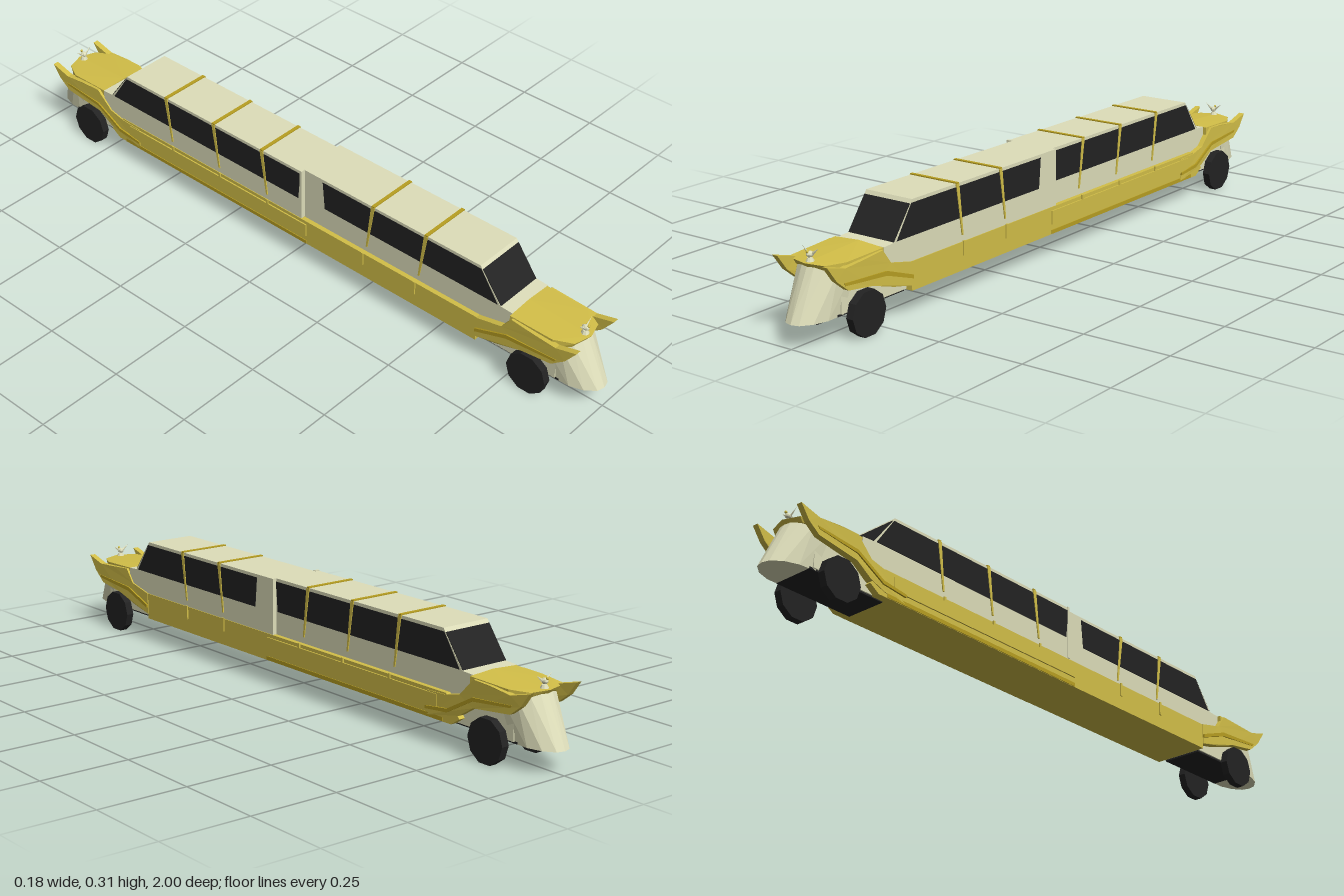
import * as THREE from 'three';
import { ConvexGeometry } from 'three/addons/geometries/ConvexGeometry.js';

const mat = (name, color) => {
  const m = new THREE.MeshStandardMaterial({ color, flatShading: true });
  m.name = name;
  return m;
};
const cream = mat('cream', 0xdedeba);
const gold = mat('gold', 0xd3bf48);
const deepGold = mat('deepGold', 0xb89f22);
const black = mat('black', 0x232323);

function add(parent, name, geometry, material) {
  const mesh = new THREE.Mesh(geometry, material);
  mesh.name = name;
  parent.add(mesh);
  return mesh;
}

// Side profile given as [z, y] points, extruded across from x0 to x1
function slab(points, x0, x1) {
  const shape = new THREE.Shape(points.map(([z, y]) => new THREE.Vector2(z, y)));
  const g = new THREE.ExtrudeGeometry(shape, { depth: x1 - x0, bevelEnabled: false });
  return g.rotateY(-Math.PI / 2).translate(x1, 0, 0);
}

function box(x0, x1, y0, y1, z0, z1) {
  return new THREE.BoxGeometry(x1 - x0, y1 - y0, z1 - z0)
    .translate((x0 + x1) / 2, (y0 + y1) / 2, (z0 + z1) / 2);
}

// Hull of [x, y, z] points mirrored over x = 0
function mirroredHull(points) {
  return new ConvexGeometry(points.flatMap(([x, y, z]) =>
    (x ? [1, -1] : [1]).map(s => new THREE.Vector3(s * x, y, z))));
}

// One cabin, built towards +z, from z = start to the windscreen
function cabin(name, start, windowStart, xMin, xMax, ribs) {
  const group = new THREE.Group();
  group.name = name;
  add(group, 'cabinShell', slab([
    [start, 0.14], [0.75, 0.14], [0.75, 0.209], [0.712, 0.211],
    [0.648, 0.296], [0.642, 0.306], [start, 0.306]], xMin, xMax), cream);

  // Windscreen plate
  add(group, 'windscreen', slab([
    [0.709, 0.212], [0.7135, 0.212], [0.6505, 0.296], [0.646, 0.296]],
    xMin + 0.001, xMax - 0.001), black);

  // Long side windows
  const glass = [[windowStart + 0.008, 0.212], [0.703, 0.212], [0.645, 0.297],
    [windowStart, 0.297]];
  add(group, 'sideWindow', slab(glass, xMin - 0.001, xMin + 0.002), black);
  add(group, 'sideWindow', slab(glass, xMax - 0.002, xMax + 0.001), black);

  // Ribs over the roof and down both sides
  for (const z of ribs) {
    add(group, 'roofRib', box(xMin - 0.002, xMax + 0.002, 0.3, 0.309, z - 0.005, z + 0.005), deepGold);
    const post = [[z - 0.021, 0.165], [z - 0.016, 0.165], [z + 0.006, 0.305], [z - 0.006, 0.305]];
    add(group, 'windowPost', slab(post, xMin - 0.003, xMin + 0.001), gold);
    add(group, 'windowPost', slab(post, xMax - 0.001, xMax + 0.003), gold);
    for (const x of [-0.085, 0.085]) {
      add(group, 'sidePeg', box(x - 0.002, x + 0.002, 0.11, 0.15, z - 0.025, z - 0.018), gold);
    }
  }
  return group;
}

// Small winged hood figure
function hoodFigure() {
  const group = new THREE.Group();
  group.name = 'hoodFigure';
  add(group, 'figureBase', new THREE.CylinderGeometry(0.007, 0.012, 0.01, 8), cream);
  add(group, 'figureBody', new THREE.SphereGeometry(0.008, 8, 6).scale(1, 1, 1.4).translate(0, 0.014, 0), cream);
  add(group, 'figureHead', new THREE.SphereGeometry(0.004, 6, 5).translate(0, 0.022, 0.009), gold);
  for (const s of [-1, 1]) {
    const wing = add(group, 'figureWing', new THREE.ConeGeometry(0.005, 0.03, 4).scale(1, 1, 0.5), cream);
    wing.position.set(s * 0.015, 0.022, -0.002);
    wing.rotation.z = -s * 0.9;
  }
  return group;
}

// Nose, hood, fenders and wheels at one end, built towards +z
function endSection(name, fender, crease) {
  const group = new THREE.Group();
  group.name = name;

  // Faceted prow
  add(group, 'prow', mirroredHull([
    [0.06, 0.068, 0.88], [0.058, 0.066, 0.93], [0.045, 0.065, 0.968], [0.022, 0.064, 0.994], [0, 0.064, 1],
    [0.072, 0.19, 0.84], [0.066, 0.19, 0.895], [0.045, 0.194, 0.92], [0.02, 0.197, 0.932], [0, 0.198, 0.935]]), cream);
  add(group, 'innerBody', box(-0.064, 0.064, 0.072, 0.19, 0.6, 0.89), cream);
  add(group, 'underPan', box(-0.06, 0.06, 0.067, 0.073, 0.655, 0.9), black);

  // Hood
  add(group, 'hood', mirroredHull([
    [0.079, 0.208, 0.75], [0.079, 0.17, 0.75], [0.076, 0.204, 0.88], [0.074, 0.175, 0.88],
    [0.05, 0.202, 0.93], [0.05, 0.188, 0.922], [0, 0.204, 0.945], [0, 0.193, 0.937], [0, 0.213, 0.75]]), gold);

  for (const s of [-1, 1]) {
    // Fender ending in a swept fin that flares outwards
    const g = slab(fender, 0.068, 0.084);
    const p = g.attributes.position;
    for (let i = 0; i < p.count; i++) {
      const flare = THREE.MathUtils.clamp((p.getZ(i) - 0.72) / 0.15, 0, 1);
      const outer = p.getX(i) > 0.075;
      p.setX(i, s * (outer ? 0.085 + 0.004 * flare : 0.064 + 0.008 * flare));
    }
    if (s < 0) {
      for (let i = 0; i < p.count; i += 3) {
        const a = new THREE.Vector3().fromBufferAttribute(p, i);
        const b = new THREE.Vector3().fromBufferAttribute(p, i + 1);
        p.setXYZ(i, b.x, b.y, b.z);
        p.setXYZ(i + 1, a.x, a.y, a.z);
      }
    }
    g.computeVertexNormals();
    add(group, 'fenderFin', g, gold);
    add(group, 'fenderCrease', slab(crease, s * 0.087 - 0.003, s * 0.087 + 0.003), deepGold);

    // Wheel
    const wheel = add(group, 'wheel', new THREE.CylinderGeometry(0.061, 0.061, 0.022, 10).rotateZ(Math.PI / 2), black);
    wheel.position.set(s * 0.079, 0.06, 0.818);
  }

  const figure = hoodFigure();
  figure.position.set(0, 0.208, 0.925);
  group.add(figure);
  return group;
}

export function createModel() {
  const model = new THREE.Group();
  model.name = 'stretchCar';

  // Lower body and side mouldings
  add(model, 'lowerBody', slab([
    [-0.72, 0.09], [-0.69, 0.07], [0.65, 0.07], [0.65, 0.147], [-0.67, 0.147]], -0.083, 0.083), gold);
  add(model, 'sideMoulding', box(-0.087, 0.087, 0.098, 0.137, -0.64, 0.06), gold);
  add(model, 'sill', box(-0.085, 0.085, 0.071, 0.082, -0.66, 0.06), deepGold);

  // Two cabins, each set slightly to one side
  model.add(cabin('frontCabin', 0.035, 0.107, -0.069, 0.081, [0.285, 0.465]));
  const rear = cabin('rearCabin', -0.04, -0.036, -0.069, 0.081, [0.107, 0.292, 0.48]);
  rear.rotation.y = Math.PI;
  model.add(rear);
  add(model, 'cabinJoint', box(-0.083, -0.068, 0.15, 0.308, 0.034, 0.042), cream);

  // Both ends
  model.add(endSection('frontEnd', [
    [0.65, 0.085], [0.72, 0.1], [0.8, 0.125], [0.89, 0.138], [0.93, 0.17], [0.962, 0.213],
    [0.9, 0.196], [0.83, 0.2], [0.76, 0.205], [0.73, 0.165], [0.65, 0.147]],
  [[0.65, 0.104], [0.75, 0.138], [0.9, 0.152], [0.905, 0.16], [0.75, 0.15], [0.65, 0.114]]));
  const back = endSection('backEnd', [
    [0.6, 0.075], [0.67, 0.082], [0.72, 0.1], [0.77, 0.132], [0.9, 0.148], [0.935, 0.175], [0.962, 0.213],
    [0.9, 0.196], [0.83, 0.203], [0.77, 0.205], [0.72, 0.155], [0.67, 0.143], [0.6, 0.14]],
  [[0.6, 0.092], [0.68, 0.1], [0.77, 0.15], [0.9, 0.165], [0.905, 0.172], [0.77, 0.16], [0.68, 0.11], [0.6, 0.1]]);
  back.rotation.y = Math.PI;
  model.add(back);

  return model;
}
